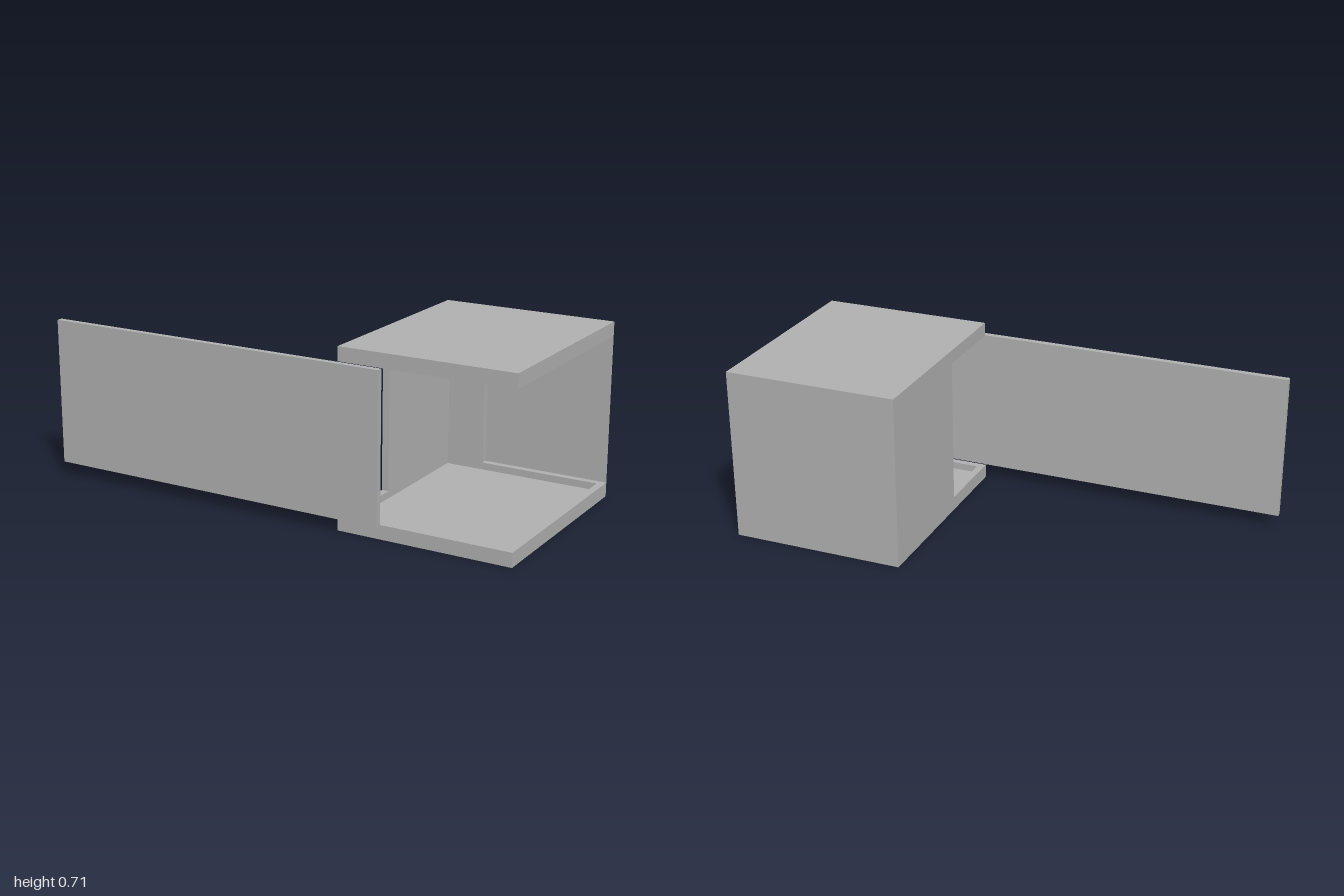
import * as THREE from 'three';

export function createModel() {
  const model = new THREE.Group();
  const grey = new THREE.MeshStandardMaterial({ color: 0xb0b0b0 });
  grey.name = 'plain grey';
  const greySheet = new THREE.MeshStandardMaterial({ color: 0xb0b0b0, side: THREE.DoubleSide });
  greySheet.name = 'plain grey sheet';

  // Main extents
  const X0 = 0.285, X1 = 1, Z0 = -0.45, Z1 = 0.42;
  const T = 0.029;              // wall and rim thickness
  const SLAB = 0.057, H = 0.71; // slab height, total height

  // Box given by its two opposite corners
  function block(name, a, b, parent = model) {
    const mesh = new THREE.Mesh(
      new THREE.BoxGeometry(b[0] - a[0], b[1] - a[1], b[2] - a[2]), grey);
    mesh.position.set((a[0] + b[0]) / 2, (a[1] + b[1]) / 2, (a[2] + b[2]) / 2);
    mesh.name = name;
    parent.add(mesh);
  }

  // Rectangle outline in x and -z, so that the extrusion rises along y
  function outline(PathType, inset) {
    const l = X0 + inset, r = X1 - inset, f = -Z1 + inset, k = -Z0 - inset;
    return new PathType([[l, f], [r, f], [r, k], [l, k]].map(p => new THREE.Vector2(...p)));
  }

  // Floor and roof: a plate with a raised rim on its inner side
  function slab(name, plateY, rimY) {
    const group = new THREE.Group();
    group.name = name;
    block(name + 'Plate', [X0, plateY, Z0], [X1, plateY + SLAB - T, Z1], group);
    const shape = outline(THREE.Shape, 0);
    shape.holes.push(outline(THREE.Path, T));
    const rim = new THREE.Mesh(
      new THREE.ExtrudeGeometry(shape, { depth: T, bevelEnabled: false }), grey);
    rim.rotation.x = -Math.PI / 2;
    rim.position.y = rimY;
    rim.name = name + 'Rim';
    group.add(rim);
    model.add(group);
  }
  slab('floor', 0, SLAB - T);
  slab('roof', H - SLAB + T, H - SLAB);

  // Side wall, stopping short of the front to leave a doorway
  block('sideWall', [X0, SLAB, Z0], [X0 + T, H - SLAB, 0.083]);

  // Back wall: a thick stretch beside the corner, then a thin sheet
  const step = 0.473;
  block('backWallThick', [X0 + T, SLAB, Z0], [step, H - SLAB, Z0 + T]);
  const sheet = new THREE.Mesh(new THREE.PlaneGeometry(X1 - step, H - 2 * SLAB), greySheet);
  sheet.rotation.y = Math.PI;
  sheet.position.set((X1 + step) / 2, H / 2, Z0);
  sheet.name = 'backWallSheet';
  model.add(sheet);

  // Long sliding panel in front of the box
  block('frontPanel', [-1, SLAB, 0.425], [0.47, H - SLAB, 0.45]);

  return model;
}
